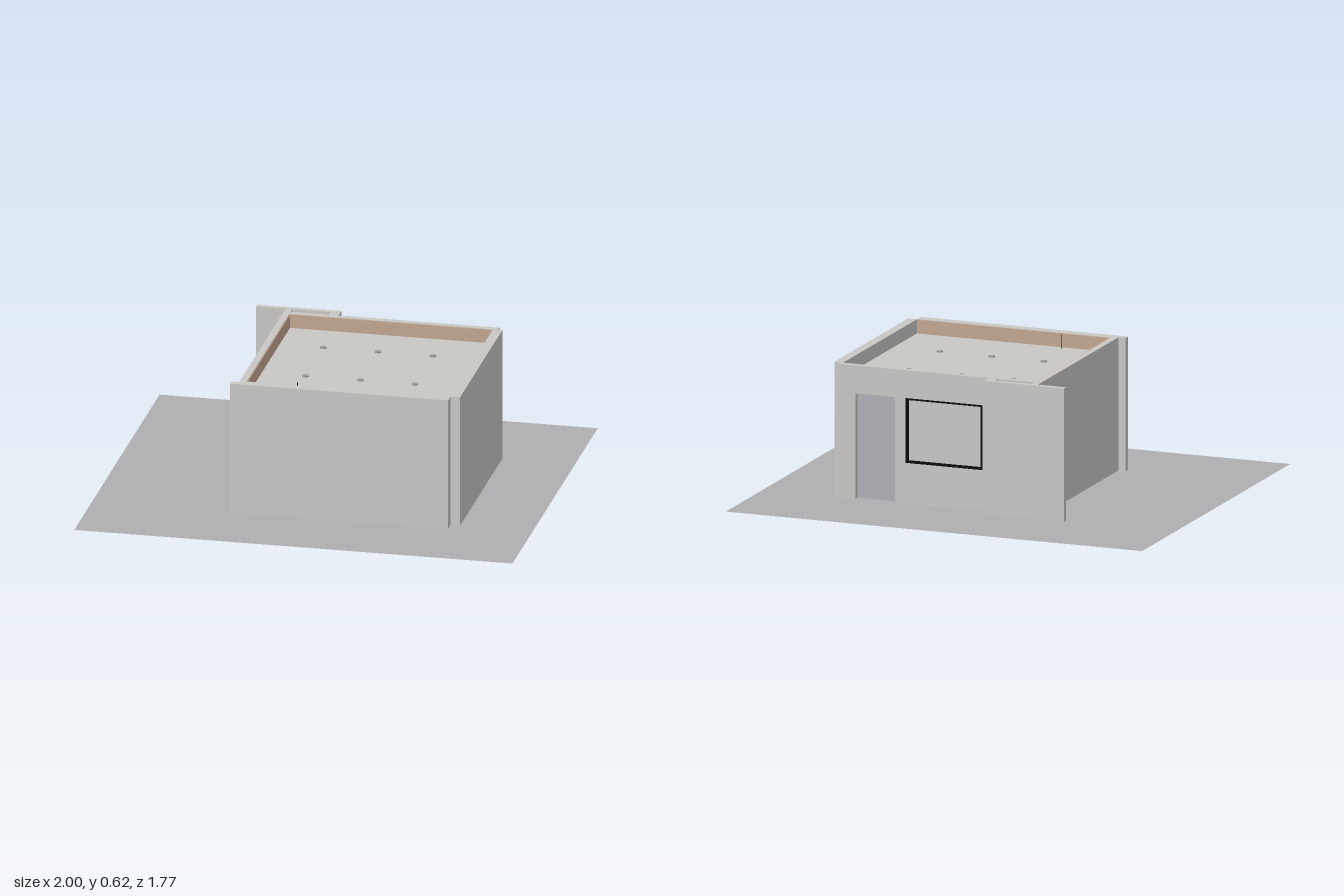
import * as THREE from 'three';

const mat = (name, color, side = THREE.FrontSide) => {
  const m = new THREE.MeshStandardMaterial({ color, side });
  m.name = name;
  return m;
};

export function createModel() {
  const group = new THREE.Group();
  const plaster = mat('plaster', 0xc9c7c4);
  const paving = mat('paving', 0xafaeb1, THREE.DoubleSide);
  const cladding = mat('brownCladding', 0xc2a692);
  const black = mat('blackFrame', 0x0c0c0c);
  const glass = mat('doorGlass', 0xaeb0b7);
  const metal = mat('lampMetal', 0x9c9c9c);
  const H = 0.615;

  const add = (name, geometry, material) => {
    const mesh = new THREE.Mesh(geometry, material);
    mesh.name = name;
    group.add(mesh);
    return mesh;
  };
  // Box given by its limits on each axis
  const box = (name, material, x0, x1, y0, y1, z0, z1) => {
    const mesh = add(name, new THREE.BoxGeometry(x1 - x0, y1 - y0, z1 - z0), material);
    mesh.position.set((x0 + x1) / 2, (y0 + y1) / 2, (z0 + z1) / 2);
    return mesh;
  };

  // Ground sheet and floor
  const ground = add('ground', new THREE.PlaneGeometry(2, 1.77), paving);
  ground.rotation.x = -Math.PI / 2;
  ground.position.y = 0.004;
  box('floor', plaster, -0.305, 0.62, 0, 0.008, -0.415, 0.47);

  // Outer walls
  box('frontWall', plaster, -0.305, 0.625, 0.004, H, 0.47, 0.515);
  box('frontWallEnd', plaster, -0.37, -0.305, 0.004, H, 0.485, 0.515);
  box('leftWall', plaster, 0.625, 0.668, 0.004, H, -0.413, 0.465);
  box('rightWall', plaster, -0.335, -0.305, 0.004, H, -0.477, 0.485);

  // Back wall with door and window openings
  const door = { x0: 0.364, x1: 0.554, y0: 0.004, y1: 0.487 };
  const win = { x0: -0.055, x1: 0.315, y0: 0.19, y1: 0.487 };
  const wall = new THREE.Shape([
    [-0.305, 0.004], [door.x0, 0.004], [door.x0, door.y1], [door.x1, door.y1],
    [door.x1, 0.004], [0.648, 0.004], [0.648, H], [-0.305, H],
  ].map(([x, y]) => new THREE.Vector2(x, y)));
  wall.holes.push(new THREE.Path([
    [win.x0, win.y0], [win.x0, win.y1], [win.x1, win.y1], [win.x1, win.y0],
  ].map(([x, y]) => new THREE.Vector2(x, y))));
  const backWall = add('backWall', new THREE.ExtrudeGeometry(wall, { depth: 0.027, bevelEnabled: false }), plaster);
  backWall.position.z = -0.442;

  // Screen panel standing off the back wall, with its short return
  box('screenPanel', plaster, -0.47, -0.085, 0.004, H, -0.5, -0.475);
  box('screenReturn', plaster, -0.13, -0.085, 0.004, H, -0.475, -0.442);

  // Door and window
  box('doorPane', glass, door.x0, door.x1, door.y0, door.y1, -0.422, -0.416);
  box('windowPane', plaster, win.x0, win.x1, win.y0, win.y1, -0.422, -0.416);
  const t = 0.008;
  for (const x of [win.x0, win.x1 - t]) box('windowJamb', black, x, x + t, win.y0, win.y1, -0.443, -0.417);
  for (const y of [win.y0, win.y1 - t]) box('windowRail', black, win.x0, win.x1, y, y + t, -0.443, -0.417);

  // Brown lining on the inside of three walls
  const top = H - 0.002;
  box('backLining', cladding, -0.305, 0.625, 0.008, top, -0.415, -0.41);
  box('frontLining', cladding, -0.305, 0.625, 0.008, top, 0.465, 0.47);
  box('rightLining', cladding, -0.305, -0.3, 0.008, top, -0.41, 0.465);

  // Sunken ceiling with six recessed lamps, and a thin rod
  box('ceiling', plaster, -0.3, 0.625, 0.535, 0.55, -0.41, 0.465);
  for (const x of [-0.1, 0.15, 0.4]) {
    for (const z of [-0.19, 0.18]) {
      const lamp = add('ceilingLamp', new THREE.CylinderGeometry(0.014, 0.014, 0.026, 20), metal);
      lamp.position.set(x, 0.543, z);
    }
  }
  box('rod', black, -0.082, -0.079, 0.55, 0.615, 0.434, 0.437);

  return group;
}
